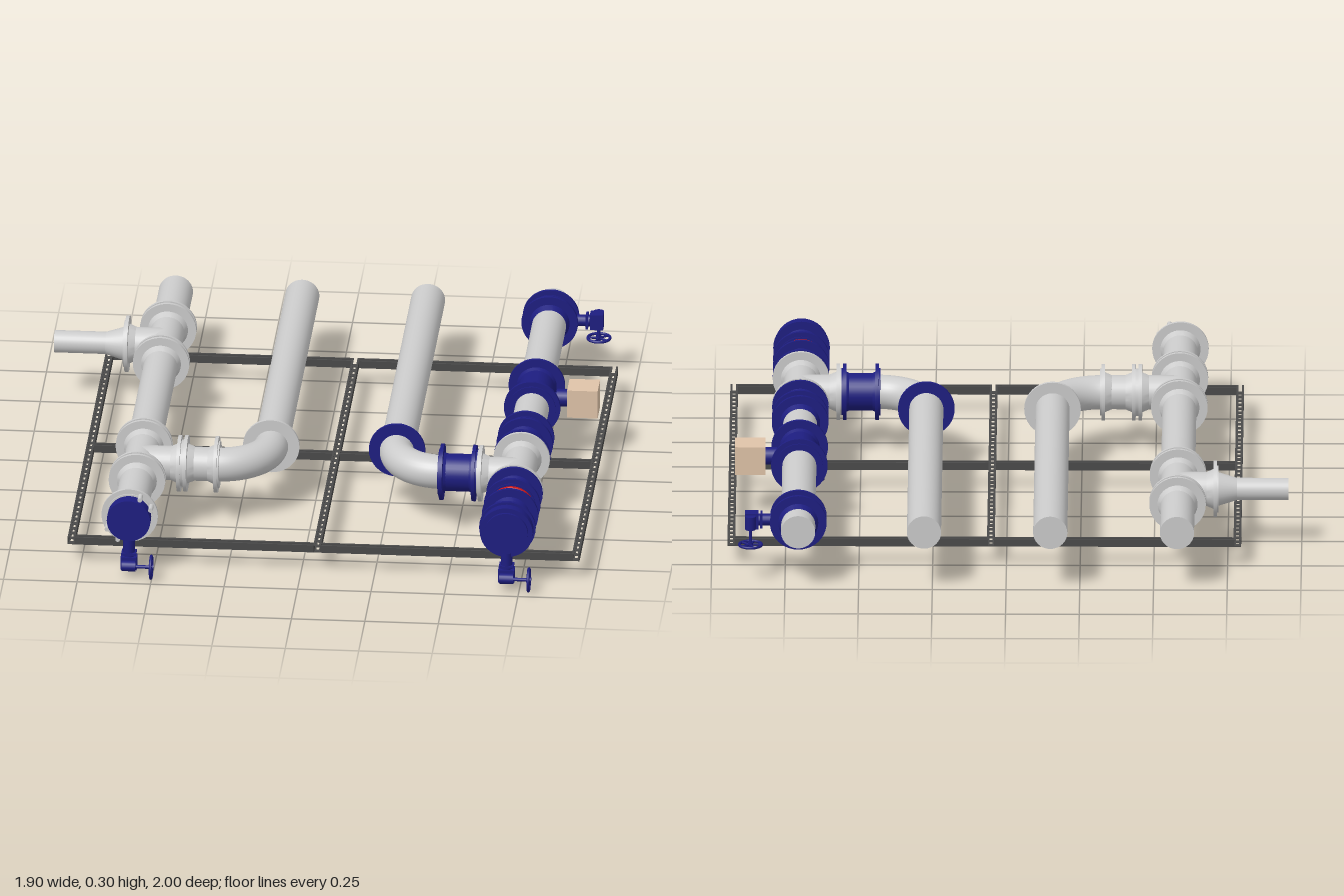
import * as THREE from 'three';
import { toCreasedNormals } from 'three/addons/utils/BufferGeometryUtils.js';

const mat = (color) => new THREE.MeshStandardMaterial({ color, side: THREE.DoubleSide });
const GREY = mat(0xcccccc), BLUE = mat(0x1d1d80), RED = mat(0xd01414), TAN = mat(0xdfc3a8), DARK = mat(0x4a4a4a);
const Y = 0.21, R = 0.058, FR = 0.096;
const LEFT = 0.705, RIGHT = -0.58, INNER_L = 0.278, INNER_R = -0.15, BEND = 0.17;

function add(parent, name, geo, material, x = 0, y = 0, z = 0) {
  const m = new THREE.Mesh(geo, material);
  m.name = name;
  m.position.set(x, y, z);
  parent.add(m);
  return m;
}
const box = (w, h, d) => new THREE.BoxGeometry(w, h, d);

// Turned part along z; profile is [radius, z] pairs
function turned(profile, seg = 40) {
  const g = new THREE.LatheGeometry(profile.map(([r, z]) => new THREE.Vector2(r, z)), seg);
  g.rotateX(Math.PI / 2);
  return toCreasedNormals(g, 0.5);
}
const drum = (r, z0, z1) => turned([[0, z0], [r, z0], [r, z1], [0, z1]]);

// Straight cylinder between two points
function rod(parent, name, a, b, r, material, seg = 32, r2 = r) {
  const A = new THREE.Vector3(...a), B = new THREE.Vector3(...b), d = B.clone().sub(A);
  const m = add(parent, name, new THREE.CylinderGeometry(r2, r, d.length(), seg), material);
  m.position.copy(A).add(B).multiplyScalar(0.5);
  m.quaternion.setFromUnitVectors(new THREE.Vector3(0, 1, 0), d.normalize());
  return m;
}

// Weld-neck flange: sealing face at z = 0, neck toward -z
const FLANGE = turned([[0, -0.04], [R, -0.04], [0.068, -0.017], [FR, -0.017], [FR, -0.005], [0.08, -0.005], [0.08, 0], [0, 0]]);
function flange(parent, name, material, x, z, angle) {
  add(parent, name, FLANGE, material, x, Y, z).rotation.y = angle;
}
function flangePair(parent, x, z, back = GREY, front = GREY) {
  flange(parent, 'pipeFlange', back, x, z, 0);
  flange(parent, 'pipeFlange', front, x, z, Math.PI);
}

// Spoked handwheel, axis along x
function handwheel(parent, x, y, z) {
  const g = new THREE.Group();
  g.name = 'handwheel';
  g.position.set(x, y, z);
  add(g, 'wheelRim', new THREE.TorusGeometry(0.038, 0.005, 8, 28), BLUE).rotation.y = Math.PI / 2;
  for (let i = 0; i < 5; i++) {
    const a = (i / 5) * Math.PI * 2;
    rod(g, 'wheelSpoke', [0, 0, 0], [0, 0.037 * Math.cos(a), 0.037 * Math.sin(a)], 0.004, BLUE, 6);
  }
  rod(g, 'wheelHub', [-0.008, 0, 0], [0.008, 0, 0], 0.009, BLUE, 12);
  parent.add(g);
}

// Butterfly valve: bore along z, stem down, handwheel toward +x
function butterflyValve(parent, x, z, name) {
  const g = new THREE.Group();
  g.name = name;
  g.position.set(x, Y, z);
  add(g, 'valveBody', drum(0.074, -0.022, 0.022), BLUE);
  rod(g, 'valveNeck', [0, -0.06, 0], [0, -0.135, 0], 0.02, BLUE, 16);
  add(g, 'stemPlate', box(0.05, 0.008, 0.04), BLUE, 0, -0.125, 0);
  add(g, 'gearbox', box(0.055, 0.045, 0.04), BLUE, 0, -0.158, 0.002);
  rod(g, 'gearHousing', [-0.022, -0.162, 0.03], [0.025, -0.162, 0.03], 0.018, BLUE, 16);
  rod(g, 'wheelShaft', [0, -0.162, 0.034], [0.08, -0.162, 0.034], 0.006, BLUE, 10);
  handwheel(g, 0.078, -0.162, 0.034);
  parent.add(g);
  return g;
}

// Slotted channel along x: floor with slots, two walls, two top lips
function channel(parent, name, length, x, z, turn) {
  const W = 0.026, T = 0.003, pitch = 0.04, g = new THREE.Group();
  g.name = name;
  const shape = new THREE.Shape();
  shape.moveTo(-length / 2, -W / 2).lineTo(length / 2, -W / 2).lineTo(length / 2, W / 2).lineTo(-length / 2, W / 2);
  const n = Math.floor(length / pitch);
  for (let i = 0; i < n; i++) {
    const c = (i - (n - 1) / 2) * pitch, hole = new THREE.Path();
    hole.moveTo(c - 0.011, -0.005).lineTo(c - 0.011, 0.005).lineTo(c + 0.011, 0.005).lineTo(c + 0.011, -0.005);
    shape.holes.push(hole);
  }
  const floor = new THREE.ExtrudeGeometry(shape, { depth: T, bevelEnabled: false });
  floor.rotateX(-Math.PI / 2);
  add(g, 'channelFloor', floor, DARK);
  for (const s of [-1, 1]) {
    add(g, 'channelWall', box(length, W, T), DARK, 0, W / 2, s * (W - T) / 2);
    add(g, 'channelLip', box(length, T, 0.007), DARK, 0, W - T / 2, s * (W / 2 - 0.0035));
  }
  g.position.set(x, 0.071, z);
  g.rotation.y = turn;
  parent.add(g);
}

export function createModel() {
  const model = new THREE.Group();
  model.name = 'pipeManifold';
  const H = Math.PI / 2;

  // Support frame
  const frame = new THREE.Group();
  frame.name = 'supportFrame';
  model.add(frame);
  for (const x of [-0.783, 0.053, 0.933]) channel(frame, 'longChannel', 1.582, x, 0.045, H);
  for (const z of [-0.733, 0.048, 0.824]) {
    channel(frame, 'crossChannel', 0.81, -0.365, z, 0);
    channel(frame, 'crossChannel', 0.854, 0.493, z, 0);
  }

  // Main pipes and inner return pipes
  rod(model, 'rightMainPipe', [RIGHT, Y, -1], [RIGHT, Y, 0.89], R, GREY, 40);
  rod(model, 'leftMainPipe', [LEFT, Y, -1], [LEFT, Y, 0.89], R, GREY, 40);
  for (const x of [INNER_R, INNER_L]) rod(model, 'innerPipe', [x, Y, -1], [x, Y, 0.27], R, GREY, 40);

  // Elbows and their branches into the main pipes
  const elbow = new THREE.TorusGeometry(BEND, R, 32, 24, H);
  elbow.rotateX(H);
  add(model, 'rightElbow', elbow, GREY, INNER_R - BEND, Y, 0.27);
  add(model, 'leftElbow', elbow, GREY, INNER_L + BEND, Y, 0.27).rotation.y = -H;
  const ring = drum(FR, -0.006, 0.006);
  add(model, 'elbowFlange', ring, GREY, INNER_R, Y, 0.268);
  add(model, 'elbowFlange', ring, BLUE, INNER_L, Y, 0.268);
  rod(model, 'rightBranch', [RIGHT, Y, 0.44], [INNER_R - BEND, Y, 0.44], R, GREY);
  rod(model, 'leftBranch', [LEFT, Y, 0.44], [INNER_L + BEND, Y, 0.44], R, GREY);
  flange(model, 'branchFlange', GREY, -0.436, 0.44, H);
  flange(model, 'branchFlange', GREY, -0.436, 0.44, -H);
  flange(model, 'branchFlange', GREY, -0.31, 0.44, H);
  flange(model, 'branchFlange', GREY, 0.567, 0.44, -H);

  // Check valve on the left branch
  rod(model, 'checkValveBody', [0.45, Y, 0.44], [0.56, Y, 0.44], 0.064, BLUE);
  flange(model, 'checkValveFlange', BLUE, 0.435, 0.44, -H);
  flange(model, 'checkValveFlange', BLUE, 0.567, 0.44, H);

  // Right main pipe: joints, side outlet with reducer, end valve
  for (const z of [-0.69, -0.402, 0.298, 0.583]) flangePair(model, RIGHT, z);
  rod(model, 'outletTee', [RIGHT, Y, -0.547], [-0.69, Y, -0.547], R, GREY);
  flange(model, 'outletFlange', GREY, -0.718, -0.547, -H);
  rod(model, 'outletReducer', [-0.715, Y, -0.547], [-0.78, Y, -0.547], 0.058, GREY, 32, 0.038);
  rod(model, 'outletPipe', [-0.76, Y, -0.547], [-0.955, Y, -0.547], 0.038, GREY);
  flange(model, 'endFlange', GREY, RIGHT, 0.898, 0);
  const rightEnd = butterflyValve(model, RIGHT, 0.92, 'rightEndValve');
  for (let i = 0; i < 4; i++) {
    const a = Math.PI / 2 * i + (i % 2 ? -1 : 1) * 1.1;
    add(rightEnd, 'flangeBolt', drum(0.008, -0.03, 0.012), GREY, 0.083 * Math.cos(a), 0.083 * Math.sin(a), 0);
  }

  // Left main pipe: joints, valves at the end, middle and back
  flangePair(model, LEFT, 0.293, BLUE, GREY);
  flangePair(model, LEFT, 0.586, GREY, BLUE);
  flange(model, 'endFlange', BLUE, LEFT, 0.898, 0);
  const leftEnd = butterflyValve(model, LEFT, 0.92, 'leftEndValve');
  add(leftEnd, 'blindDisc', drum(0.09, -0.02, 0.012), BLUE);
  const middle = butterflyValve(model, LEFT, 0.153, 'middleValve');
  middle.rotation.y = Math.PI;
  const back = butterflyValve(model, LEFT, -0.87, 'backValve');
  back.rotation.set(0, Math.PI, H, 'ZYX');
  for (const z of [0.153, -0.87]) {
    flange(model, 'valveFlange', BLUE, LEFT, z - 0.017, 0);
    flange(model, 'valveFlange', BLUE, LEFT, z + 0.017, Math.PI);
  }

  // Control valve with actuator box
  add(model, 'controlValveBody', drum(0.062, -0.1, 0.1), BLUE, LEFT, Y, -0.22);
  flange(model, 'controlValveFlange', BLUE, LEFT, -0.326, Math.PI);
  flange(model, 'controlValveFlange', BLUE, LEFT, -0.114, 0);
  rod(model, 'actuatorStem', [LEFT, Y, -0.217], [0.825, Y, -0.217], 0.018, BLUE, 16);
  rod(model, 'actuatorMount', [0.782, Y, -0.217], [0.822, Y, -0.217], 0.03, BLUE, 20);
  add(model, 'actuatorBox', box(0.104, 0.1, 0.1), TAN, 0.872, 0.208, -0.218);

  // Flexible joint with red double bellows
  flange(model, 'jointFlange', BLUE, LEFT, 0.704, 0);
  flange(model, 'jointFlange', BLUE, LEFT, 0.768, Math.PI);
  add(model, 'redBellows', turned([[0.05, -0.032], [0.07, -0.03], [0.077, -0.022], [0.077, -0.01], [0.068, -0.002],
    [0.068, 0.002], [0.077, 0.01], [0.077, 0.022], [0.07, 0.03], [0.05, 0.032]]), RED, LEFT, Y, 0.736);

  return model;
}
